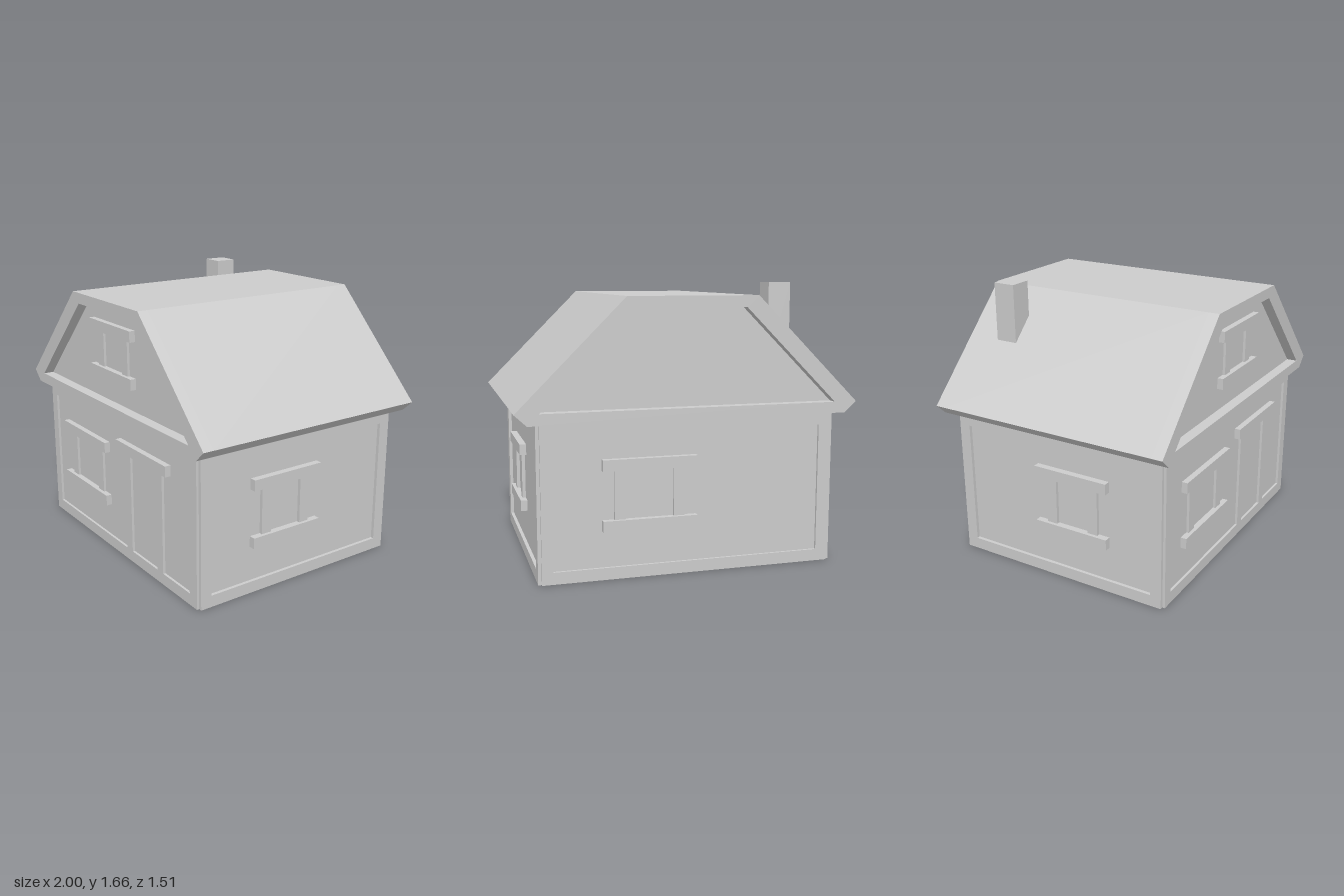
import * as THREE from 'three';

const material = new THREE.MeshStandardMaterial({ color: 0xcccccc, flatShading: true });

function add(parent, name, geometry) {
  const mesh = new THREE.Mesh(geometry, material);
  mesh.name = name;
  parent.add(mesh);
  return mesh;
}

// Box given by its limits on each axis
function block(parent, name, [x0, x1], [y0, y1], [z0, z1]) {
  const mesh = add(parent, name, new THREE.BoxGeometry(x1 - x0, y1 - y0, z1 - z0));
  mesh.position.set((x0 + x1) / 2, (y0 + y1) / 2, (z0 + z1) / 2);
  return mesh;
}

const toPoints = (list) => list.map(([x, y]) => new THREE.Vector2(x, y));
const rect = (x0, x1, y0, y1) => [[x0, y0], [x1, y0], [x1, y1], [x0, y1]];

// Flat plate from z = 0 to z = depth, with an optional opening
function plate(outline, depth, opening) {
  const shape = new THREE.Shape(toPoints(outline));
  if (opening) shape.holes.push(new THREE.Path(toPoints(opening)));
  return new THREE.ExtrudeGeometry(shape, { depth, bevelEnabled: false });
}

// Window surround facing +z: two long ledges joined by two posts
function windowSurround(parent, name, { x, low, high, half, post, postDepth, depth }) {
  const group = new THREE.Group();
  group.name = name;
  const ledge = 0.065, postHalf = 0.0325;
  for (const [part, y] of [['windowSill', low], ['windowHead', high]]) {
    block(group, part, [x - half, x + half], [y, y + ledge], [0, depth]);
  }
  for (const side of [-1, 1]) {
    const c = x + side * post;
    block(group, 'windowPost', [c - postHalf, c + postHalf], [low + ledge, high], [0, postDepth]);
  }
  parent.add(group);
}

// Group whose local +z points outwards from one wall
function wallSide(parent, name, angle, distance) {
  const group = new THREE.Group();
  group.name = name;
  group.rotation.y = angle;
  group.position.set(Math.sin(angle) * distance, 0, Math.cos(angle) * distance);
  parent.add(group);
  return group;
}

export function createModel() {
  const house = new THREE.Group();
  house.name = 'house';

  const W = 0.86, D = 0.69, H = 0.905;
  block(house, 'walls', [-W, W], [0, H], [-D, D]);

  // Front and back wall frames
  const longFrame = plate(rect(-W, W, 0, H), 0.015, rect(-0.795, 0.79, 0.07, 0.83));
  const front = wallSide(house, 'frontWall', 0, D);
  const back = wallSide(house, 'backWall', Math.PI, D);
  add(front, 'frontFrame', longFrame);
  add(back, 'backFrame', longFrame);
  const longWindow = { low: 0.28, high: 0.628, half: 0.275, post: 0.173, postDepth: 0.015, depth: 0.036 };
  windowSurround(front, 'frontWindow', { x: -0.38, ...longWindow });
  windowSurround(back, 'backWindow', { x: -0.24, ...longWindow });

  // Door surround
  block(front, 'doorPost', [0.102, 0.168], [0.07, 0.695], [0, 0.015]);
  block(front, 'doorPost', [0.45, 0.515], [0.07, 0.695], [0, 0.015]);
  block(front, 'doorLintel', [0.035, 0.585], [0.695, 0.76], [0, 0.036]);

  // Side wall frames, their windows mirrored across the house
  const sideFrame = plate(rect(-D, D, 0, H), 0.02, rect(-0.62, 0.62, 0.07, 0.83));
  for (const side of [1, -1]) {
    const wall = wallSide(house, side > 0 ? 'leftWall' : 'rightWall', side * Math.PI / 2, W);
    add(wall, 'sideFrame', sideFrame);
    windowSurround(wall, 'sideWindow', {
      x: -side * 0.105, low: 0.28, high: 0.628, half: 0.24, post: 0.138, postDepth: 0.02, depth: 0.04,
    });
  }

  // Roof body with a recessed gable at each end
  const roofOutline = [[-0.93, H], [0.93, H], [1, 0.97], [0.38, 1.59], [-0.38, 1.59], [-1, 0.97]];
  const gableOpening = [[-0.865, 0.97], [0.865, 0.97], [0.31, 1.525], [-0.31, 1.525]];
  add(house, 'roof', plate(roofOutline, 2 * D)).position.z = -D;
  const gableFrame = plate(roofOutline, 0.065, gableOpening);
  const frontGable = wallSide(house, 'frontGable', 0, D);
  const backGable = wallSide(house, 'backGable', Math.PI, D);
  add(frontGable, 'gableFrame', gableFrame);
  add(backGable, 'gableFrame', gableFrame);
  windowSurround(frontGable, 'gableWindow', {
    x: -0.003, low: 1.107, high: 1.385, half: 0.238, post: 0.138, postDepth: 0.015, depth: 0.036,
  });

  block(house, 'chimney', [-0.655, -0.52], [1.2, 1.66], [-0.553, -0.418]);

  return house;
}
